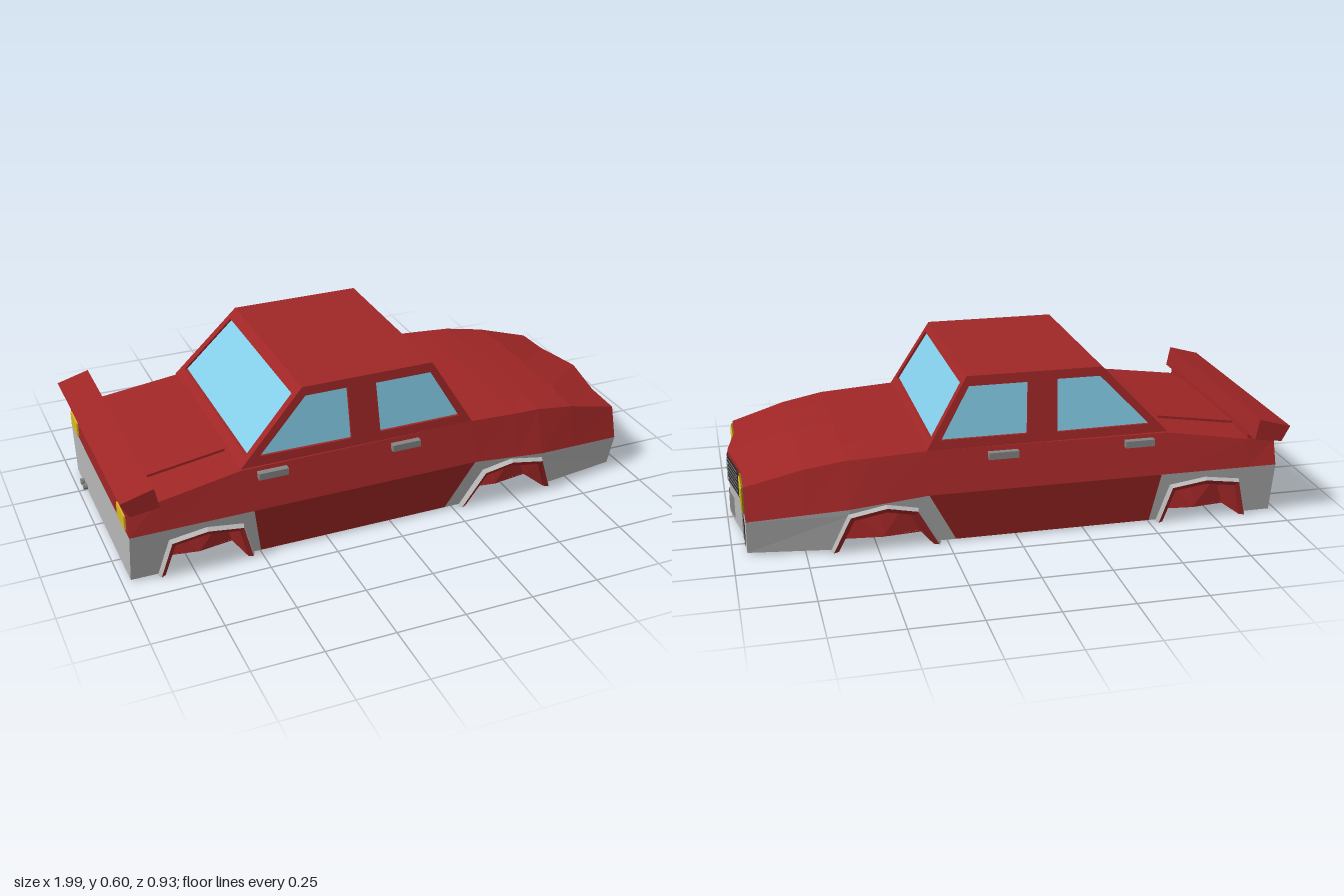
import * as THREE from 'three';

const mat = (color) => new THREE.MeshStandardMaterial({ color, flatShading: true, side: THREE.DoubleSide });
const lerp = THREE.MathUtils.lerp;

export function createModel() {
  const car = new THREE.Group();
  const red = mat(0xa02626), grey = mat(0xb8b8b8), trim = mat(0x858585), dark = mat(0x2c2c2c);
  const glass = mat(0x84cce8), yellow = mat(0xd8b822), amber = mat(0x857414);

  const add = (name, geo, material) => {
    const m = new THREE.Mesh(geo, material);
    m.name = name;
    car.add(m);
    return m;
  };
  const fromPoints = (pts) => {
    const g = new THREE.BufferGeometry();
    g.setAttribute('position', new THREE.Float32BufferAttribute(pts.flat(), 3));
    g.computeVertexNormals();
    return g;
  };
  // Quads between successive rows of points
  const loft = (rows) => {
    const t = [];
    for (let i = 0; i < rows.length - 1; i++)
      for (let j = 0; j < rows[i].length - 1; j++) {
        const a = rows[i][j], b = rows[i + 1][j], c = rows[i + 1][j + 1], d = rows[i][j + 1];
        t.push(a, b, c, a, c, d);
      }
    return fromPoints(t);
  };
  // Move every vertex by a rule
  const warp = (geo, rule) => {
    const g = geo.index ? geo.toNonIndexed() : geo, p = g.attributes.position, t = [];
    for (let i = 0; i < p.count; i++) t.push(rule(p.getX(i), p.getY(i), p.getZ(i)));
    return fromPoints(t);
  };
  // Add a part on the +z side and its reflection
  const pair = (name, geo, material) => {
    const p = geo.attributes.position, t = [];
    for (let i = p.count - 1; i >= 0; i--) t.push([p.getX(i), p.getY(i), -p.getZ(i)]);
    add(name + 'Left', geo, material);
    add(name + 'Right', fromPoints(t), material);
  };
  const shape = (pts) => new THREE.Shape(pts.map(([x, y]) => new THREE.Vector2(x, y)));
  const box = (name, size, pos, material) => {
    const m = add(name, new THREE.BoxGeometry(...size), material);
    m.position.set(...pos);
    return m;
  };

  // Body rules: belt line height, belt half-width, lower side surface, nose plan
  const beltY = (x) => (x < 0.32 ? 0.2 : lerp(0.2, 0.14, (x - 0.32) / 0.63));
  const beltZ = (x) => (x < 0.6 ? 0.43 : lerp(0.43, 0.38, (x - 0.6) / 0.35));
  const sideZ = (x, y) => beltZ(x) - 0.035 * (beltY(x) - y) / (beltY(x) - 0.01);
  const noseX = (z) => 0.95 + 0.035 * Math.max(0, 1 - Math.abs(z) / 0.2);

  // Upper body: x, shoulder y/z, crease y/z, centre y
  const stations = [
    [-0.97, 0.29, 0.4, 0.295, 0.25, 0.295],
    [-0.86, 0.3, 0.405, 0.308, 0.25, 0.308],
    [-0.56, 0.345, 0.39, 0.353, 0.25, 0.353],
    [0.32, 0.35, 0.39, 0.355, 0.25, 0.355],
    [0.5, 0.34, 0.385, 0.35, 0.245, 0.352],
    [0.6, 0.335, 0.38, 0.342, 0.24, 0.344],
    [0.75, 0.31, 0.367, 0.322, 0.225, 0.325],
    [0.95, 0.255, 0.345, 0.262, 0.2, 0.268],
  ];
  const upper = stations.map(([x, sy, sz, cy, cz, my]) => {
    const half = [[x, beltY(x), beltZ(x)], [x, sy, sz], [x, cy, cz]];
    const mid = [x > 0.9 ? noseX(0) : x, my, 0];
    return [...half, mid, ...half.map(([a, b, c]) => [a, b, -c]).reverse()];
  });
  add('upperBody', loft(upper), red);

  // Lower side panels with wheel arch cut-outs
  const arches = [
    [[-0.87, 0.01], [-0.83, 0.15], [-0.7, 0.17], [-0.57, 0.15], [-0.53, 0.01]],
    [[0.28, 0.01], [0.36, 0.15], [0.47, 0.175], [0.6, 0.15], [0.66, 0.01]],
  ];
  const sidePanel = (name, pts, material) =>
    pair(name, warp(new THREE.ShapeGeometry(shape(pts)), (x, y) => [x, y, sideZ(x, y)]), material);
  sidePanel('rearQuarter', [[-0.97, 0.01], ...arches[0], [-0.5, 0.01], [-0.53, 0.2], [-0.97, 0.2]], grey);
  sidePanel('doorSill', [[-0.5, 0.01], [0.22, 0.01], [0.32, 0.2], [-0.53, 0.2]], red);
  sidePanel('frontQuarter', [[0.22, 0.01], ...arches[1].slice(0, 4), [0.6, beltY(0.6)], [0.32, 0.2]], grey);
  sidePanel('bumperSide', [[0.6, 0.15], [0.66, 0.01], [0.95, 0.01], [0.95, 0.14], [0.6, beltY(0.6)]], grey);

  // Flared arches and wheel wells
  for (const [k, arch] of arches.entries()) {
    const cx = (arch[0][0] + arch[4][0]) / 2, name = k ? 'front' : 'rear';
    const ring = (s, z) => arch.map(([x, y]) =>
      [cx + (x - cx) * s, y < 0.02 ? 0.003 : y * s, z ?? sideZ(x, y)]);
    const shift = (row, dz) => row.map(([x, y, z]) => [x, y, z + dz]);
    const lip = shift(ring(0.98), 0.018), inner = shift(ring(0.88), 0.008), well = ring(0.75, 0.29);
    pair(name + 'ArchEdge', loft([ring(1.03), lip]), grey);
    pair(name + 'WheelWell', loft([lip, inner, well, well.map(() => [cx, 0.01, 0.32])]), red);
  }

  // Flat underside, notched at the wells
  const notch = (a) => {
    const cx = (a[0][0] + a[4][0]) / 2, w = (a[4][0] - cx) * 0.75;
    return [[a[0][0], 0.395], [cx - w, 0.29], [cx, 0.32], [cx + w, 0.29], [a[4][0], sideZ(a[4][0], 0.01)]];
  };
  const edge = [[-0.97, 0.395], ...notch(arches[0]), ...notch(arches[1]), [0.95, 0.345], [0.95, 0.2]];
  const floor = shape([...edge, [0.985, 0], ...edge.map(([x, z]) => [x, -z]).reverse()]);
  add('underside', new THREE.ShapeGeometry(floor).rotateX(Math.PI / 2), grey).position.y = 0.01;

  // Nose and tail faces
  const row = (y, h, fx) => [-h, -0.2, 0, 0.2, h].map((z) => [fx(z), y, z]);
  const top = upper[7].slice(1, 6).reverse();
  add('frontBumper', loft([row(0.01, 0.345, noseX), row(0.14, 0.38, noseX)]), grey);
  add('frontFascia', loft([row(0.14, 0.38, noseX), top]), red);
  const tail = (y, h) => row(y, h, () => -0.97).reverse();
  add('rearBumper', loft([tail(0.01, 0.395), tail(0.2, 0.43)]), grey);
  add('rearFascia', loft([tail(0.2, 0.43), upper[0].slice(1, 6)]), red);

  // Patches lying on the nose: bottom and top z spans
  const patch = (y0, y1, b, t, off) => loft([[y0, b], [y1, t]].map(([y, [l, r]]) =>
    [l, (l + r) / 2, r].map((z) => [noseX(z) + off, y, z])));
  add('grille', patch(0.148, 0.252, [-0.17, 0.17], [-0.17, 0.17], 0.003), dark);
  for (let i = 0; i < 7; i++) {
    const y = 0.153 + i * 0.0145;
    add('grilleBar', patch(y, y + 0.005, [-0.168, 0.168], [-0.168, 0.168], 0.007), trim);
  }
  add('numberPanel', patch(0.03, 0.112, [-0.083, 0.083], [-0.083, 0.083], 0.004), trim);
  pair('bumperLampFrame', patch(0.024, 0.122, [0.225, 0.335], [0.2, 0.36], 0.003), dark);
  pair('bumperLamp', patch(0.032, 0.113, [0.233, 0.327], [0.212, 0.347], 0.006), trim);
  for (const s of [1, -1]) {
    box('headlightFrame', [0.012, 0.1, 0.135], [0.95, 0.2, s * 0.262], amber);
    box('headlight', [0.012, 0.084, 0.118], [0.954, 0.2, s * 0.262], yellow);
    box('tailLight', [0.012, 0.055, 0.1], [-0.97, 0.24, s * 0.345], yellow);
    for (const x of [-0.45, 0.05]) box('doorHandle', [0.108, 0.025, 0.024], [x, 0.32, s * 0.405], trim);
  }

  // Cabin walls with inset glass
  const wall = (outline, holes, place, name, addPart) => {
    const s = shape(outline);
    s.holes = holes.map((h) => new THREE.Path(shape(h).getPoints()));
    const g = new THREE.ExtrudeGeometry(s, { depth: 0.02, bevelEnabled: false });
    addPart(name + 'Frame', warp(g, (u, v, w) => place(u, v, w - 0.02)), red);
    for (const h of holes)
      addPart(name + 'Glass', warp(new THREE.ShapeGeometry(shape(h)), (u, v) => place(u, v, -0.01)), glass);
  };
  const rise = (a, b, y) => lerp(a, b, (y - 0.35) / 0.25);
  wall([[-0.56, 0.35], [0.32, 0.35], [0.17, 0.6], [-0.32, 0.6]], [
    [[-0.49, 0.383], [-0.15, 0.38], [-0.155, 0.568], [-0.31, 0.568]],
    [[-0.04, 0.383], [0.268, 0.383], [0.163, 0.565], [-0.048, 0.565]],
  ], (u, v, w) => [u, v, rise(0.39, 0.355, v) + w], 'sideWindow', pair);
  const screen = [[-0.39, 0.35], [0.39, 0.35], [0.355, 0.6], [-0.355, 0.6]];
  const pane = [[-0.355, 0.38], [0.355, 0.38], [0.328, 0.57], [-0.328, 0.57]];
  wall(screen, [pane], (u, v, w) => [rise(0.32, 0.17, v) + w, v, -u], 'windscreen', add);
  wall(screen, [pane], (u, v, w) => [rise(-0.56, -0.32, v) - w, v, u], 'rearScreen', add);
  add('roof', loft([-0.32, 0.17].map((x) => [[x, 0.6, 0.355], [x, 0.6, -0.355]])), red);

  // Boot lid, rear wing and exhaust tips
  box('bootLid', [0.3, 0.014, 0.5], [-0.72, 0.331, 0], red).rotation.z = Math.atan(0.045 / 0.3);
  const extrudeZ = (pts, width) => new THREE.ExtrudeGeometry(shape(pts), { depth: width, bevelEnabled: false })
    .translate(0, 0, -width / 2);
  add('rearWing', extrudeZ([[-0.97, 0.305], [-0.867, 0.318], [-0.882, 0.393], [-1, 0.36]], 0.93), red);
  add('wingMount', extrudeZ([[-0.97, 0.28], [-0.866, 0.3], [-0.868, 0.33], [-0.98, 0.32]], 0.8), red);
  for (const z of [-0.24, -0.28]) {
    const pipe = add('exhaustTip', new THREE.CylinderGeometry(0.012, 0.012, 0.05, 8), trim);
    pipe.rotation.z = Math.PI / 2;
    pipe.position.set(-0.96, 0.025, z);
  }
  return car;
}
